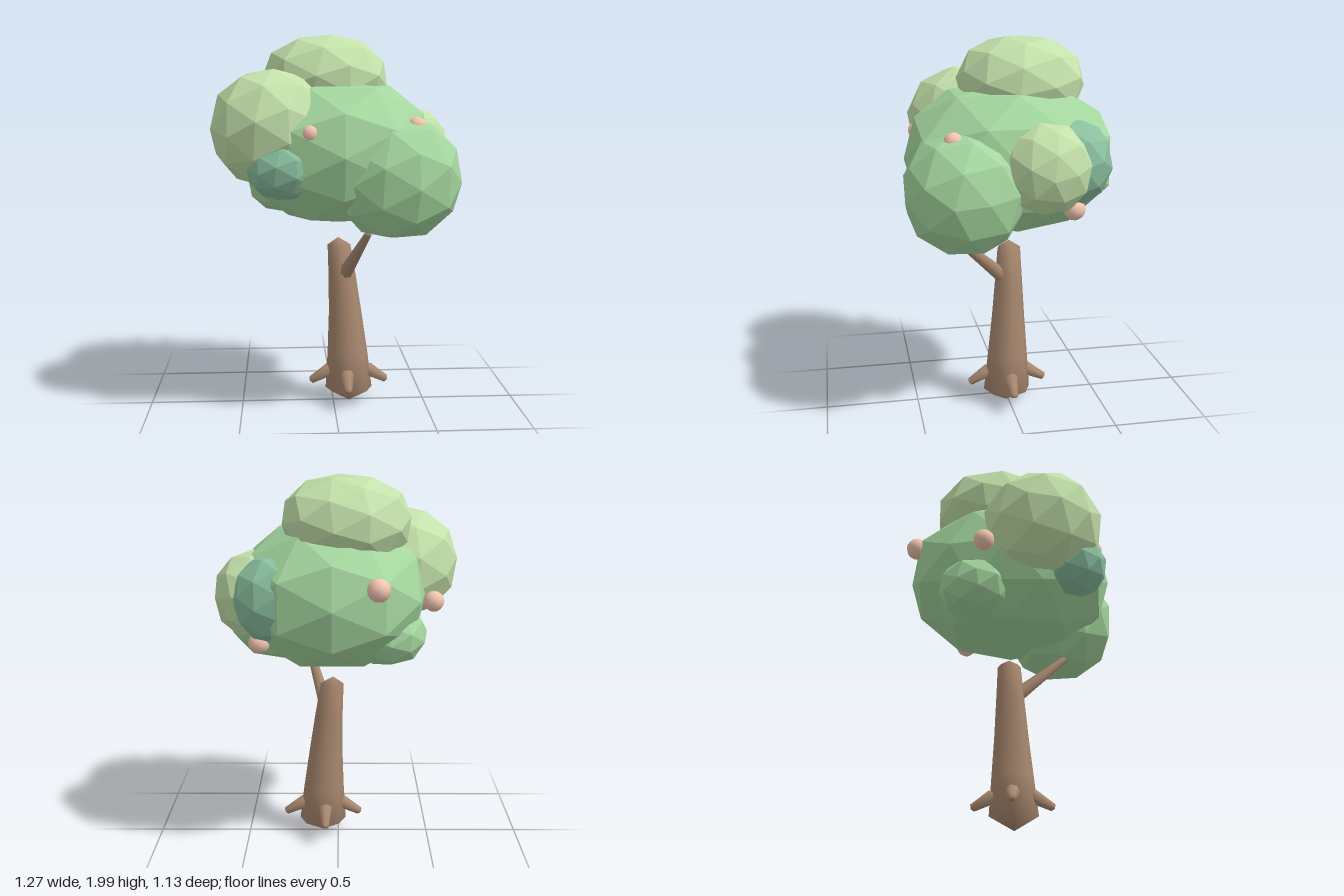
import * as THREE from 'three';
import { mergeVertices } from 'three/addons/utils/BufferGeometryUtils.js';

const mat = (color, flatShading = false) => new THREE.MeshStandardMaterial({ color, flatShading });
const bark = mat(0xa8886f);
const green = mat(0xa4d69e, true);
const light = mat(0xc3e1aa, true);
const teal = mat(0x8abf9f, true);
const peach = mat(0xf3c6b0);

// tapered limb between two points, with softly closed ends
function limb(name, from, to, r0, r1) {
  const a = new THREE.Vector3(...from), b = new THREE.Vector3(...to);
  const dir = b.clone().sub(a), h = dir.length();
  const profile = [[0, 0], [r0, 0.02], [r1, h - 0.01], [0, h]].map(p => new THREE.Vector2(...p));
  const mesh = new THREE.Mesh(new THREE.LatheGeometry(profile, 7), bark);
  mesh.name = name;
  mesh.position.copy(a);
  mesh.quaternion.setFromUnitVectors(new THREE.Vector3(0, 1, 0), dir.normalize());
  return mesh;
}

// faceted clump of leaves: centre, radii, facet tilt and turn, fullness between the axes
function clump(name, material, center, radii, tilt, turn, bulge) {
  const geo = new THREE.IcosahedronGeometry(1, 1).rotateX(tilt).rotateY(turn);
  const pos = geo.attributes.position, v = new THREE.Vector3();
  for (let i = 0; i < pos.count; i++) {
    v.fromBufferAttribute(pos, i);
    v.multiplyScalar(1 + bulge * (1 - v.x ** 4 - v.y ** 4 - v.z ** 4));
    pos.setXYZ(i, v.x, v.y, v.z);
  }
  geo.scale(...radii);
  geo.computeVertexNormals();
  const mesh = new THREE.Mesh(geo, material);
  mesh.name = name;
  mesh.position.set(...center);
  return mesh;
}

export function createModel() {
  const tree = new THREE.Group();
  tree.name = 'tree';

  // trunk: tapered profile, leaning gently with height
  const profile = [[0, 0.005], [0.128, 0.08], [0.11, 0.28], [0.09, 0.5], [0.075, 0.7], [0.062, 0.88], [0, 0.92]];
  let trunkGeo = new THREE.LatheGeometry(profile.map(p => new THREE.Vector2(...p)), 8);
  const pos = trunkGeo.attributes.position;
  for (let i = 0; i < pos.count; i++) {
    const t = pos.getY(i) / 0.92;
    pos.setX(i, pos.getX(i) + 0.087 - 0.012 * t - 0.047 * t * t);
    pos.setZ(i, pos.getZ(i) + 0.012 - 0.026 * t);
  }
  trunkGeo.deleteAttribute('uv');
  trunkGeo.deleteAttribute('normal');
  trunkGeo = mergeVertices(trunkGeo);
  trunkGeo.computeVertexNormals();
  const trunk = new THREE.Mesh(trunkGeo, bark);
  trunk.name = 'trunk';
  tree.add(trunk);

  // branch and four root stubs
  tree.add(limb('branch', [0.06, 0.72, 0.02], [0.165, 0.99, 0.3], 0.039, 0.019));
  for (let i = 0; i < 4; i++) {
    const c = Math.cos(i * Math.PI / 2), s = Math.sin(i * Math.PI / 2);
    const x = 0.07 + 0.015 * c * c;
    tree.add(limb('root' + (i + 1),
      [x + 0.085 * c, 0.19, 0.005 + 0.085 * s],
      [x + 0.215 * c, 0.115, 0.005 + 0.215 * s], 0.038, 0.021));
  }

  // crown
  tree.add(
    clump('mainCrown', green, [0.03, 1.39, -0.01], [0.495, 0.385, 0.55], 0, 0, 0.13),
    clump('topCrown', light, [-0.04, 1.765, -0.085], [0.335, 0.24, 0.335], 0.27, 0.35, 0.1),
    clump('rightCrown', light, [-0.33, 1.52, 0.17], [0.315, 0.305, 0.32], 0.2, 0.3, 0.04),
    clump('frontCrown', green, [0.31, 1.27, 0.265], [0.33, 0.315, 0.31], 0.1, 0.25, 0.08),
    clump('leftCrown', light, [0.42, 1.395, -0.125], [0.22, 0.23, 0.225], 0.2, 0.5, 0.06),
    clump('leftBackCrown', teal, [0.31, 1.4, -0.26], [0.225, 0.225, 0.225], 0.25, 0.1, 0.06),
    clump('rightLowerCrown', teal, [-0.26, 1.325, 0.32], [0.195, 0.16, 0.19], 0.2, 0.3, 0.06),
    clump('backLowerCrown', green, [-0.25, 1.2, -0.18], [0.21, 0.16, 0.2], 0.2, 0.6, 0.06)
  );

  // fruit
  const fruits = [
    [0.4, 1.535, 0.33, 0.048], [-0.135, 1.505, 0.455, 0.046], [-0.495, 1.36, -0.13, 0.054],
    [-0.195, 1.49, -0.51, 0.058], [0.4, 1.175, -0.275, 0.056]
  ];
  fruits.forEach(([x, y, z, r], i) => {
    const fruit = new THREE.Mesh(new THREE.SphereGeometry(r, 10, 8), peach);
    fruit.name = 'fruit' + (i + 1);
    fruit.position.set(x, y, z);
    tree.add(fruit);
  });

  return tree;
}
